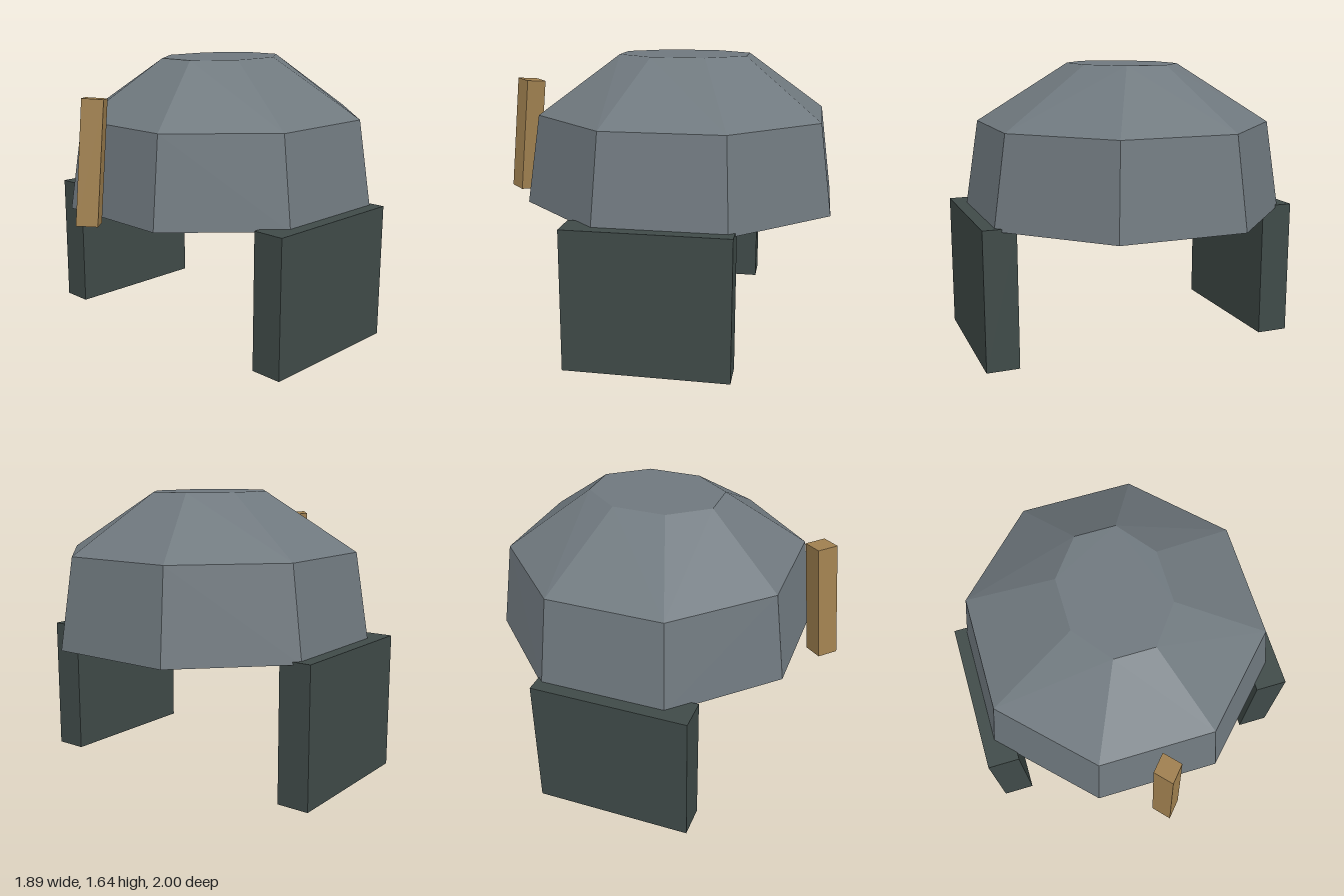
import * as THREE from 'three';
import { ConvexGeometry } from 'three/addons/geometries/ConvexGeometry.js';

function material(name, color) {
  const m = new THREE.MeshStandardMaterial({ color });
  m.name = name;
  return m;
}

// Octagonal ring: half sizes (hx, hz) with corner coordinates (cx, cz)
function octagon(y, hx, hz, cx, cz) {
  const points = [];
  for (const sx of [-1, 1]) {
    for (const sz of [-1, 1]) {
      points.push(new THREE.Vector3(sx * hx, y, sz * cz));
      points.push(new THREE.Vector3(sx * cx, y, sz * hz));
    }
  }
  return points;
}

export function createModel() {
  const group = new THREE.Group();
  const grey = material('stone grey', 0x6f787e);
  const dark = material('dark green grey', 0x3f4a48);
  const wood = material('wood brown', 0xa18150);

  function add(name, geometry, mat, x, y, z) {
    const mesh = new THREE.Mesh(geometry, mat);
    mesh.name = name;
    mesh.position.set(x, y, z);
    group.add(mesh);
    return mesh;
  }

  // Faceted dome: steep lower wall, shallow shoulder and flat crown
  add('dome', new ConvexGeometry([
    ...octagon(0.78, 0.873, 0.883, 0.363, 0.365),
    ...octagon(1.297, 0.795, 0.813, 0.33, 0.34),
    ...octagon(1.64, 0.285, 0.373, 0.118, 0.155),
  ]), grey, 0, 0, -0.117);

  // Slab legs on both sides
  for (const [side, name] of [[1, 'leftLeg'], [-1, 'rightLeg']]) {
    add(name, new THREE.BoxGeometry(0.188, 0.797, 0.92), dark, side * 0.851, 0.3985, -0.055);
  }

  // Diamond-section post in front, leaning back
  const postGeometry = new THREE.CylinderGeometry(1, 1, 0.688, 4).toNonIndexed();
  postGeometry.scale(0.078, 1, 0.088);
  postGeometry.computeVertexNormals();
  const post = add('frontPost', postGeometry, wood, 0, 1.124, 0.88);
  post.rotation.x = -0.094;

  return group;
}
